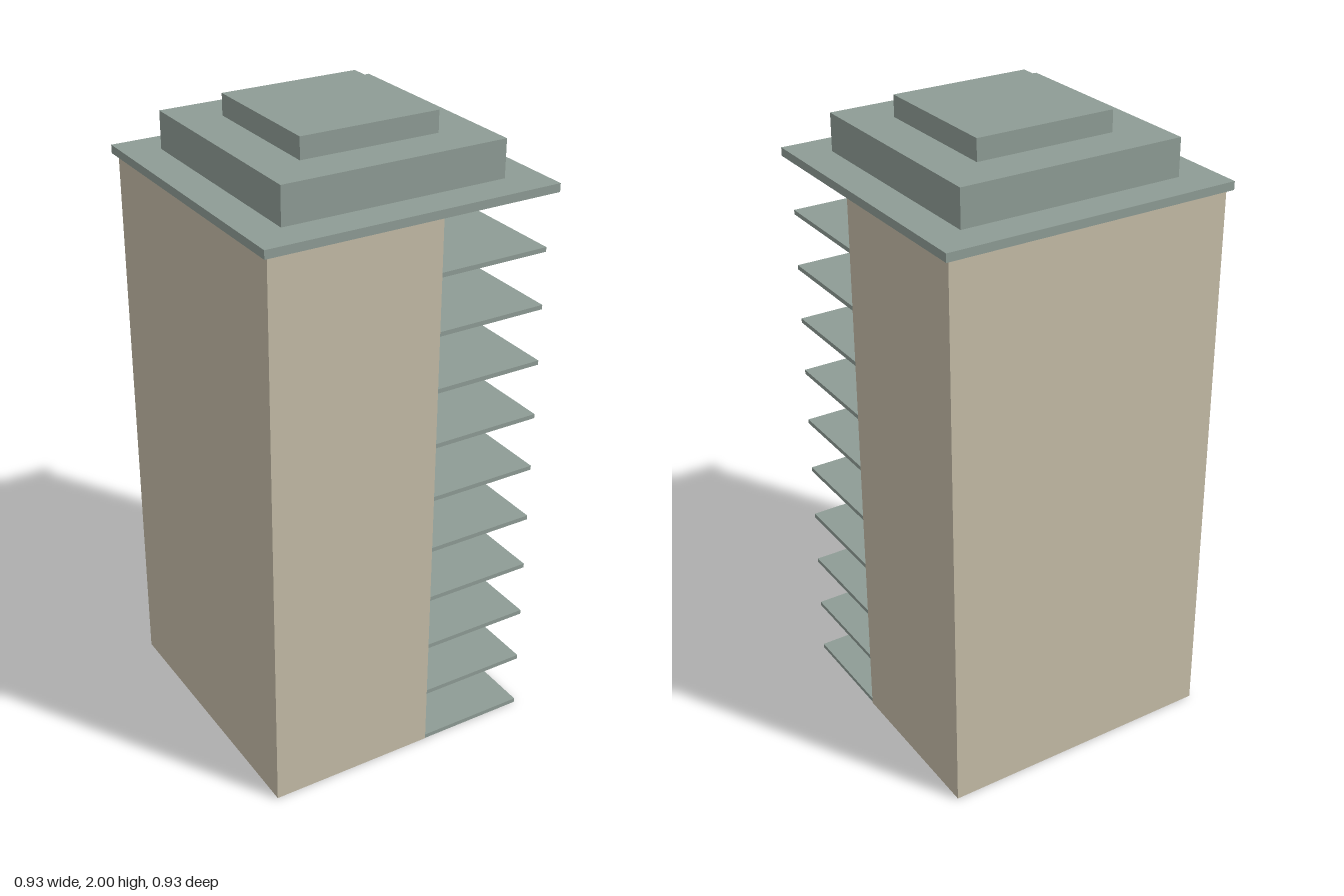
import * as THREE from 'three';

export function createModel() {
  const group = new THREE.Group();
  const stone = new THREE.MeshStandardMaterial({ color: 0xc4bba6 });
  stone.name = 'sandstone';
  const slate = new THREE.MeshStandardMaterial({ color: 0x8e9c95 });
  slate.name = 'greyGreen';

  // Box given by its two opposite corners
  function box(name, material, [x0, y0, z0], [x1, y1, z1]) {
    const mesh = new THREE.Mesh(new THREE.BoxGeometry(x1 - x0, y1 - y0, z1 - z0), material);
    mesh.position.set((x0 + x1) / 2, (y0 + y1) / 2, (z0 + z1) / 2);
    mesh.name = name;
    group.add(mesh);
  }

  const R = 0.452;      // outer half width of the tower
  const I = R - 0.012;  // inner face of the walls
  const S = 0.448;      // half width of the floor slabs
  const open = 0.09;    // the front left corner is open beyond this
  const base = 0.003, eaves = 1.792;

  // Thin outer walls around a hollow core
  box('backWall', stone, [-R, base, -R], [R, eaves, -I]);
  box('rightWall', stone, [-R, base, -I], [-I, eaves, I]);
  box('frontWall', stone, [-R, base, I], [open, eaves, R]);
  box('leftWall', stone, [I, base, -I], [R, eaves, open]);

  // Full floor slabs, seen through the open corner
  for (let i = 0; i < 10; i++) {
    const y = i * 0.179;
    box('floorSlab' + (i + 1), slate, [-S, y, -S], [S, y + 0.014, S]);
  }

  // Stepped roof
  const tiers = [
    ['roofSlab', 0.467, eaves, 1.818],
    ['roofTier', 0.357, 1.818, 1.934],
    ['roofCap', 0.222, 1.934, 2],
  ];
  for (const [name, h, y0, y1] of tiers) box(name, slate, [-h, y0, -h], [h, y1, h]);

  return group;
}
